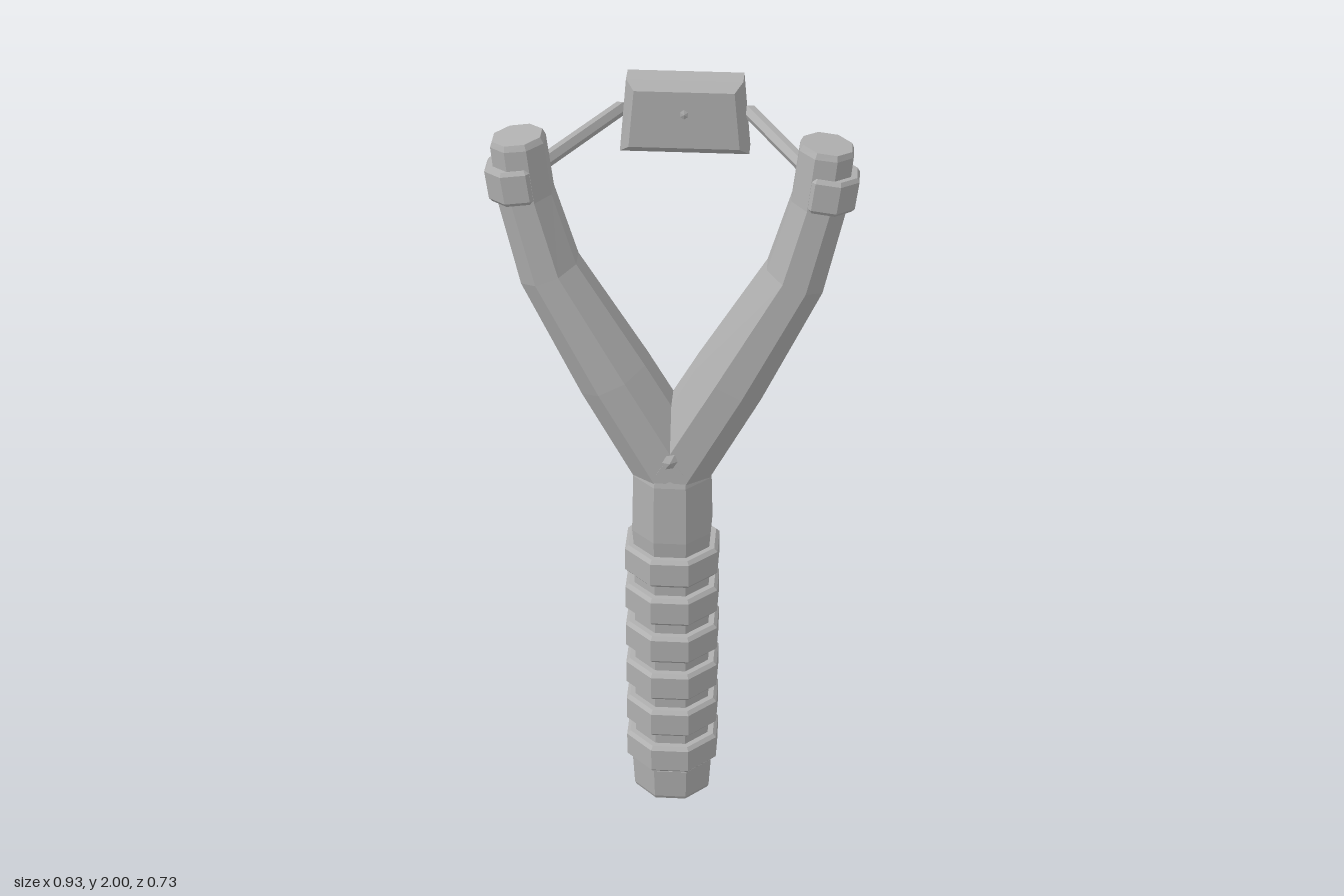
import * as THREE from 'three';

const SIDES = 8;
const FLAT = 1 / Math.cos(Math.PI / SIDES); // flat-to-flat radius -> corner radius
const FORK_Z = 0.24;

const grey = new THREE.MeshStandardMaterial({ color: 0xb0b0b0 });
grey.name = 'grey';

// Faceted mesh: every face keeps its own normal
function part(name, geometry) {
  const flat = geometry.index ? geometry.toNonIndexed() : geometry;
  flat.computeVertexNormals();
  const mesh = new THREE.Mesh(flat, grey);
  mesh.name = name;
  return mesh;
}

// Octagonal turned solid with flats facing front and sides
function turned(points) {
  const profile = points.map(([r, y]) => new THREE.Vector2(r * FLAT, y));
  return new THREE.LatheGeometry(profile, SIDES, Math.PI / SIDES);
}

// Tapered octagonal limb along [x, y, radius] stations in the xy plane
function limb(stations) {
  const centres = stations.map(([x, y]) => new THREE.Vector3(x, y, 0));
  const pos = [], index = [];
  const last = stations.length - 1;
  stations.forEach(([x, y, r], i) => {
    const t = centres[Math.min(i + 1, last)].clone().sub(centres[Math.max(i - 1, 0)]).normalize();
    for (let j = 0; j < SIDES; j++) {
      const a = (j + 0.5) * 2 * Math.PI / SIDES;
      const c = Math.cos(a) * r * FLAT, s = Math.sin(a) * r * FLAT;
      pos.push(x + t.y * c, y - t.x * c, -s);
    }
  });
  for (let i = 0; i < last; i++) {
    for (let j = 0; j < SIDES; j++) {
      const k = (j + 1) % SIDES, a = i * SIDES, b = a + SIDES;
      index.push(a + j, a + k, b + k, a + j, b + k, b + j);
    }
  }
  for (let j = 1; j < SIDES - 1; j++) {
    const e = last * SIDES;
    index.push(e, e + j, e + j + 1, 0, j + 1, j);
  }
  const g = new THREE.BufferGeometry();
  g.setAttribute('position', new THREE.Float32BufferAttribute(pos, 3));
  g.setIndex(index);
  return g;
}

// Six-sided rod between two points
function rod(a, b, radius) {
  const dir = b.clone().sub(a);
  const g = new THREE.CylinderGeometry(radius, radius, dir.length(), 6);
  g.applyQuaternion(new THREE.Quaternion().setFromUnitVectors(new THREE.Vector3(0, 1, 0), dir.normalize()));
  const m = a.clone().add(b).multiplyScalar(0.5);
  return g.translate(m.x, m.y, m.z);
}

export function createModel() {
  const model = new THREE.Group();
  model.name = 'slingshot';

  const frame = new THREE.Group();
  frame.name = 'frame';
  frame.position.z = FORK_Z;
  model.add(frame);

  // Handle with a slightly flared butt
  frame.add(part('handle', turned([
    [0, 0], [0.1, 0], [0.104, 0.01], [0.109, 0.1], [0.1, 0.115], [0.1, 0.8], [0.105, 0.86], [0.101, 1.03], [0.09, 1.08], [0, 1.1],
  ])));

  // Grip rings
  for (let i = 0; i < 6; i++) {
    const ring = part('gripRing', turned([
      [0.09, -0.043], [0.115, -0.043], [0.124, -0.033], [0.124, 0.033], [0.115, 0.043], [0.09, 0.043],
    ]));
    ring.position.y = 0.15 + i * 0.1242;
    frame.add(ring);
  }

  // Knob set into the crotch of the fork
  const knob = part('forkKnob', new THREE.IcosahedronGeometry(0.107, 1));
  knob.scale.set(0.65, 0.75, 1);
  knob.position.y = 1.11;
  knob.rotation.z = -0.5;
  frame.add(knob);

  for (const s of [1, -1]) {
    const side = s > 0 ? 'left' : 'right';

    // Fork arm with chamfered tip
    frame.add(part(side + 'Arm', limb([
      [0, 1.05, 0.098], [s * 0.15, 1.32, 0.094], [s * 0.312, 1.62, 0.077],
      [s * 0.367, 1.83, 0.069], [s * 0.383, 1.975, 0.067], [s * 0.385, 1.99, 0.061],
    ])));

    // Collar tying the band to the arm
    const collar = part(side + 'Collar', turned([
      [0.05, -0.047], [0.07, -0.047], [0.077, -0.037], [0.077, 0.037], [0.07, 0.047], [0.05, 0.047],
    ]));
    collar.position.set(s * 0.385, 1.876, 0);
    collar.rotation.z = -s * 0.13;
    frame.add(collar);

    // Elastic band
    model.add(part(side + 'Band', rod(
      new THREE.Vector3(s * 0.365, 1.868, 0.2), new THREE.Vector3(s * 0.172, 1.831, -0.278), 0.02)));
  }

  // Pouch: bevelled trapezoid block
  const b = 0.024;
  const outline = new THREE.Shape([[-0.148, 1.744], [0.148, 1.744], [0.133, 1.906], [-0.133, 1.906]]
    .map(([x, y]) => new THREE.Vector2(x, y)));
  const pouch = part('pouch', new THREE.ExtrudeGeometry(outline, {
    depth: 0.06, bevelEnabled: true, bevelThickness: b, bevelSize: b, bevelSegments: 1,
  }));
  pouch.position.z = -0.307;
  model.add(pouch);

  // Pellet held in the pouch
  const pellet = part('pellet', new THREE.IcosahedronGeometry(0.073, 1));
  pellet.position.set(0, 1.842, -0.292);
  model.add(pellet);

  return model;
}
